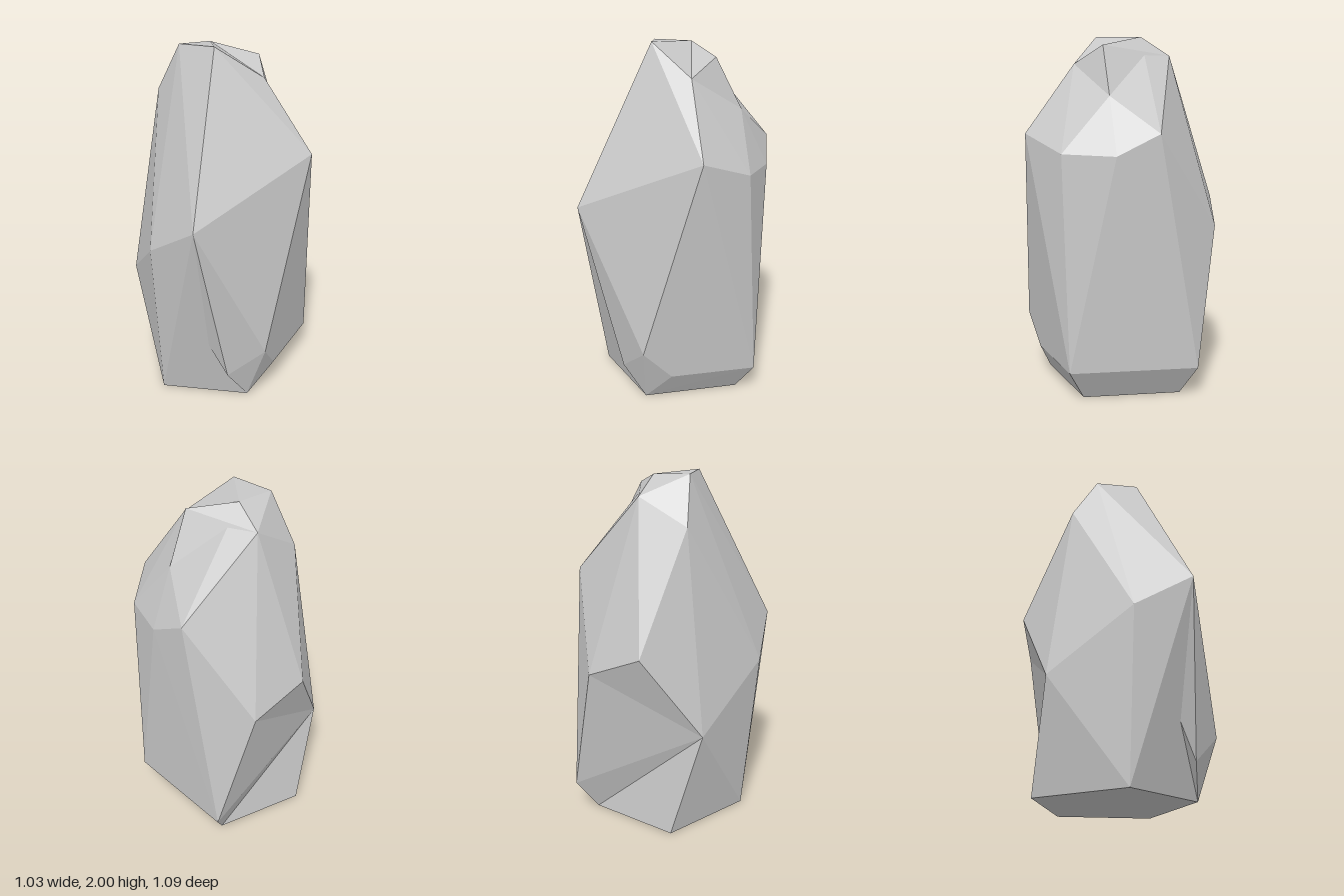
import * as THREE from 'three';
import { ConvexGeometry } from 'three/addons/geometries/ConvexGeometry.js';

const stone = new THREE.MeshStandardMaterial({ color: 0xc6c6c6 });
stone.name = 'light grey stone';

// Corners shared between the body and the smaller chunks that meet it
const topFront = [-0.12, 2.0, 0.125];
const topRight = [0.07, 1.985, -0.11];
const topNose = [0.11, 1.83, 0.27];
const topBack = [0.1, 1.88, -0.27];
const backRidge = [-0.17, 1.73, -0.28];
const hollow = [0.365, 1.65, 0.1];
const sideTip = [-0.5, 1.14, 0.37];
const sideBack = [-0.52, 0.94, 0.04];
const backCorner = [0.32, 0.94, -0.495];
const rearNotch = [-0.3, 0.61, -0.4];
const frontLow = [-0.12, 0.35, 0.545];
const footFront = [-0.13, 0, 0.42];
const footBack = [0.385, 0, -0.29];
const footSide = [-0.44, 0, 0.02];

// Corners of the body alone, from the crown down to the foot
const bodyOnly = [
  [-0.14, 1.99, -0.13],
  [0.51, 1.455, -0.15], [0.515, 1.34, 0.08], [0.43, 1.35, 0.36], [0.2, 1.45, 0.545],
  [0.49, 0.18, -0.37], [0.49, 0.18, 0.33], [0.03, 0.18, 0.48],
  [0.385, 0, 0.25],
];

// Faceted solid wrapped around its corner points
function chunk(name, ...corners) {
  const points = corners.map((p) => new THREE.Vector3(...p));
  const mesh = new THREE.Mesh(new ConvexGeometry(points), stone);
  mesh.name = name;
  return mesh;
}

export function createModel() {
  const group = new THREE.Group();
  group.name = 'rock';
  group.add(
    chunk('rockBody', ...bodyOnly, topFront, topRight, topNose, topBack, backRidge, hollow,
      sideTip, sideBack, backCorner, rearNotch, frontLow, footFront, footBack, footSide),
    // Lip of the crown, above the hollow shoulder
    chunk('crownLip', topRight, topNose, topBack, hollow, [0.225, 1.925, 0.12]),
    // Bulge at the back
    chunk('backBulge', topBack, backRidge, backCorner, rearNotch, [0.01, 1.07, -0.545]),
    // Wedge under the crease across the back
    chunk('rearFoot', rearNotch, footBack, footSide, [-0.13, 0, -0.445]),
    // Low knob beside the front
    chunk('frontKnob', sideTip, sideBack, frontLow, footFront, [-0.265, 0.18, 0.39],
      [0.03, 0.18, 0.48]),
  );
  return group;
}
